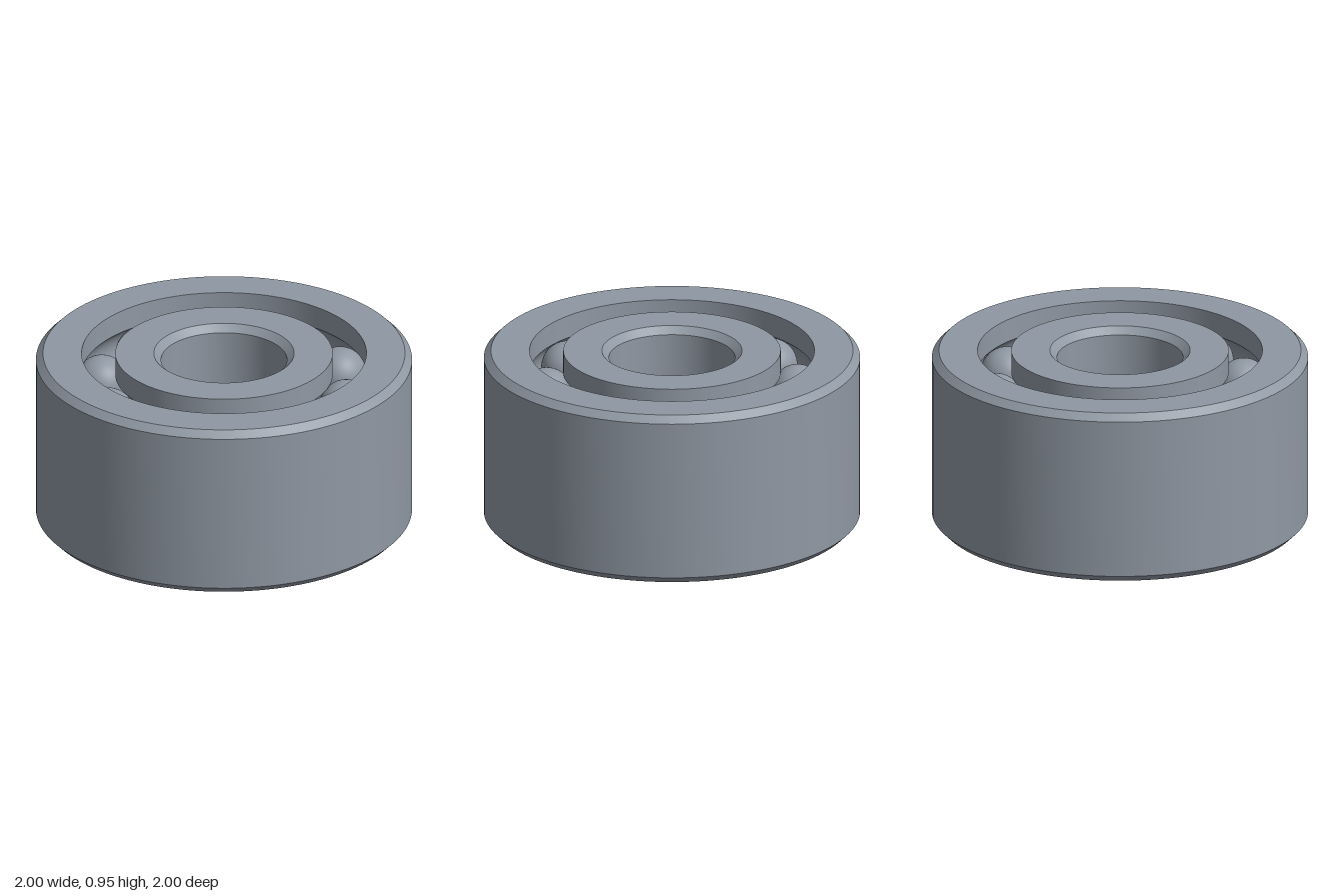
import * as THREE from 'three';
import { toCreasedNormals } from 'three/addons/utils/BufferGeometryUtils.js';

const HEIGHT = 0.95, CHAMFER = 0.038;
const OUTER_R = 1, OUTER_BORE = 0.757;
const INNER_R = 0.578, INNER_BORE = 0.335;
const PITCH_R = (OUTER_BORE + INNER_R) / 2;
const BALL_R = 0.142, GROOVE_R = 0.144;
const BALLS_PER_ROW = 10, PHASE = THREE.MathUtils.degToRad(12);
const ROWS = [HEIGHT * 0.25, HEIGHT * 0.75];

// Half the angle of the groove arc that cuts into a ring wall
const ARC = Math.acos((OUTER_BORE - PITCH_R) / GROOVE_R);

// Points of one ball groove, swept between two angles
function groove(y, from, to, steps = 14) {
  return Array.from({ length: steps + 1 }, (_, i) => {
    const a = from + (to - from) * i / steps;
    return [PITCH_R + GROOVE_R * Math.cos(a), y + GROOVE_R * Math.sin(a)];
  });
}

// Closed ring turned from a counter-clockwise (radius, height) profile
function ring(name, profile, material) {
  const points = [...profile, profile[0]].map(([r, y]) => new THREE.Vector2(r, y));
  const geometry = toCreasedNormals(new THREE.LatheGeometry(points, 128), 0.4);
  const mesh = new THREE.Mesh(geometry, material);
  mesh.name = name;
  return mesh;
}

export function createModel() {
  const model = new THREE.Group();
  model.name = 'ballBearing';
  const steel = new THREE.MeshStandardMaterial({ color: 0x8f98a3 });
  steel.name = 'steel';

  // Outer ring: chamfered outside, two grooves in its bore
  model.add(ring('outerRing', [
    [OUTER_BORE, 0],
    [OUTER_R - CHAMFER, 0],
    [OUTER_R, CHAMFER],
    [OUTER_R, HEIGHT - CHAMFER],
    [OUTER_R - CHAMFER, HEIGHT],
    [OUTER_BORE, HEIGHT],
    ...groove(ROWS[1], ARC, -ARC),
    ...groove(ROWS[0], ARC, -ARC),
  ], steel));

  // Inner ring: two grooves outside, chamfered bore
  model.add(ring('innerRing', [
    [INNER_BORE + CHAMFER, 0],
    [INNER_R, 0],
    ...groove(ROWS[0], Math.PI + ARC, Math.PI - ARC),
    ...groove(ROWS[1], Math.PI + ARC, Math.PI - ARC),
    [INNER_R, HEIGHT],
    [INNER_BORE + CHAMFER, HEIGHT],
    [INNER_BORE, HEIGHT - CHAMFER],
    [INNER_BORE, CHAMFER],
  ], steel));

  // Two aligned rows of balls
  const ballGeometry = new THREE.SphereGeometry(BALL_R, 40, 24);
  ROWS.forEach((y, row) => {
    const balls = new THREE.Group();
    balls.name = row ? 'upperBallRow' : 'lowerBallRow';
    for (let i = 0; i < BALLS_PER_ROW; i++) {
      const a = PHASE + i * 2 * Math.PI / BALLS_PER_ROW;
      const ball = new THREE.Mesh(ballGeometry, steel);
      ball.name = 'ball';
      ball.position.set(PITCH_R * Math.cos(a), y, PITCH_R * Math.sin(a));
      balls.add(ball);
    }
    model.add(balls);
  });

  return model;
}
